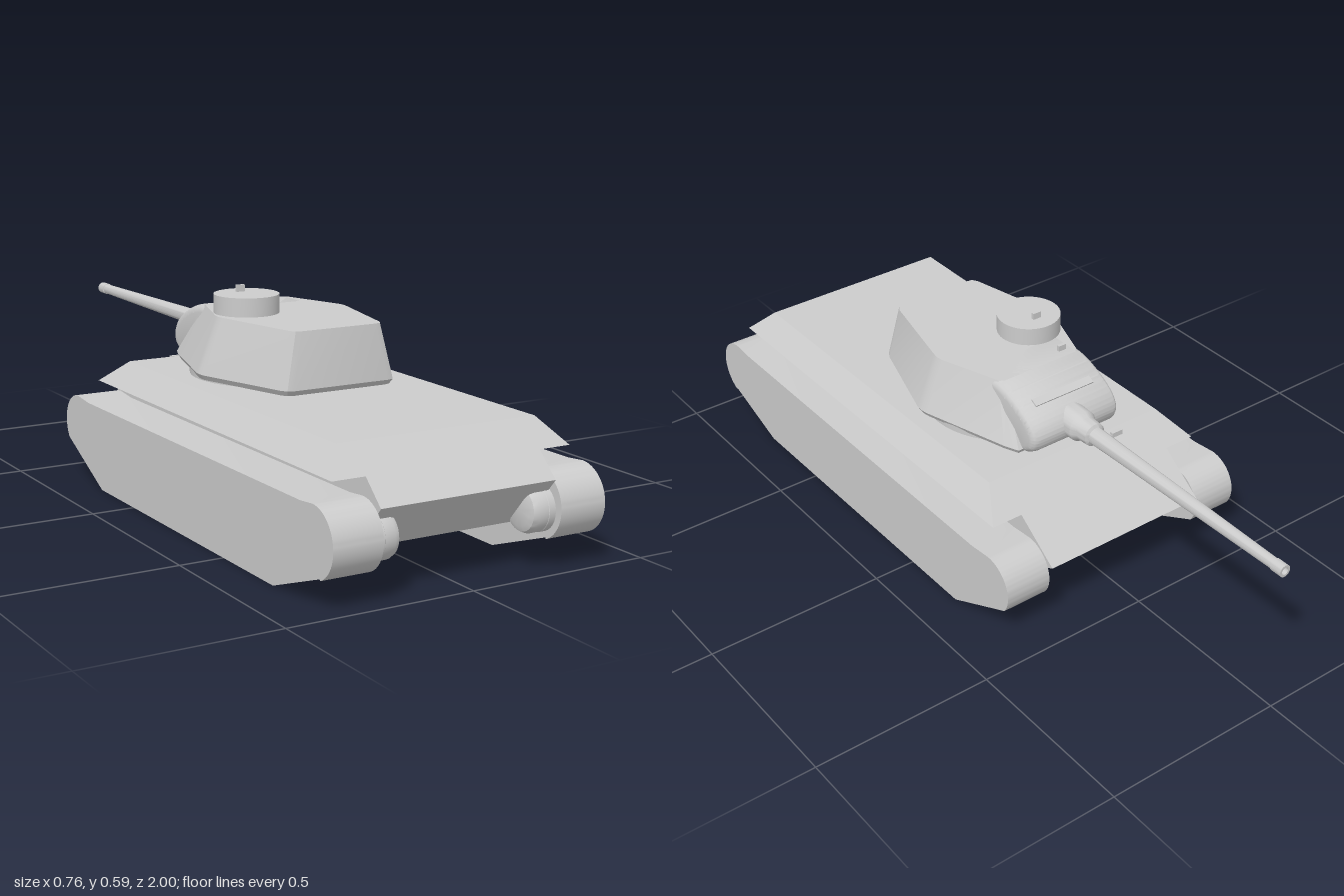
import * as THREE from 'three';
import { toCreasedNormals } from 'three/addons/utils/BufferGeometryUtils.js';

const material = new THREE.MeshStandardMaterial({ color: 0xcccccc });

function add(parent, name, geometry, x = 0, y = 0, z = 0, crease = 0.5) {
  const mesh = new THREE.Mesh(toCreasedNormals(geometry, crease), material);
  mesh.name = name;
  mesh.position.set(x, y, z);
  parent.add(mesh);
  return mesh;
}

// Side profile given as [z, y], extruded across x and centred on x = 0
function sideExtrude(shape, width, bevel = 0) {
  const depth = width - 2 * bevel;
  const geometry = new THREE.ExtrudeGeometry(shape, {
    depth, bevelEnabled: bevel > 0, bevelSize: bevel, bevelThickness: bevel,
    bevelOffset: -bevel, bevelSegments: 4, curveSegments: 14,
  });
  return geometry.translate(0, 0, -depth / 2).rotateY(-Math.PI / 2);
}

const polygon = (points) => new THREE.Shape(points.map(([z, y]) => new THREE.Vector2(z, y)));

// Half outline [x, z] from rear to front, mirrored into a full ring at height y
function ring(half, y) {
  const left = half.map(([x, z]) => [x, y, z]);
  const right = half.map(([x, z]) => [-x, y, z]).reverse();
  return [...left, ...right];
}

// Closed solid skinned through rings stacked upwards
function loft(rings) {
  const n = rings[0].length;
  const out = [];
  const tri = (a, b, c) => out.push(...a, ...b, ...c);
  for (let i = 0; i < rings.length - 1; i++) {
    for (let j = 0; j < n; j++) {
      const k = (j + 1) % n;
      const [a, b, c, d] = [rings[i][j], rings[i][k], rings[i + 1][k], rings[i + 1][j]];
      tri(a, b, c);
      tri(a, c, d);
    }
  }
  const bottom = rings[0];
  const top = rings[rings.length - 1];
  for (let j = 0; j < n; j++) {
    const k = (j + 1) % n;
    tri([0, bottom[0][1], 0.1], bottom[k], bottom[j]);
    tri([0, top[0][1], 0.1], top[j], top[k]);
  }
  const geometry = new THREE.BufferGeometry();
  geometry.setAttribute('position', new THREE.Float32BufferAttribute(out, 3));
  geometry.computeVertexNormals();
  return geometry;
}

function buildHull() {
  const hull = new THREE.Group();
  hull.name = 'hull';
  add(hull, 'lowerHull', sideExtrude(polygon([
    [0.917, 0.285], [0.98, 0.225], [0.88, 0.105], [-0.26, 0.105], [-0.44, 0.192], [-0.31, 0.285],
  ]), 0.49), 0, 0, 0, 0.2);
  add(hull, 'upperHull', loft([
    ring([[0.335, 0.917], [0.335, -0.31]], 0.285),
    ring([[0.28, 0.85], [0.28, -0.22]], 0.35),
  ]), 0, 0, 0, 0.2);
  // Driver's vision blocks on the front plate
  for (const x of [-0.13, -0.085]) {
    add(hull, 'visionBlock', new THREE.BoxGeometry(0.034, 0.014, 0.012), x, 0.342, -0.235);
  }
  return hull;
}

function buildRunningGear() {
  const gear = new THREE.Group();
  gear.name = 'runningGear';
  // Solid track block: round at both ends, sloping up from the ground run
  const track = new THREE.Shape();
  track.moveTo(-0.2, 0);
  track.lineTo(0.74, 0);
  track.lineTo(0.945, 0.075);
  track.absarc(0.912, 0.152, 0.088, -1.17, Math.PI / 2, false);
  track.lineTo(0.86, 0.235);
  track.lineTo(-0.28, 0.231);
  track.absarc(-0.35, 0.155, 0.083, Math.PI / 2, Math.PI * 1.2, false);
  track.closePath();
  // Final drive turned around the axle
  const drive = [[0, 0], [0.04, 0], [0.053, 0.005], [0.059, 0.018], [0.059, 0.045], [0.06, 0.046], [0.06, 0.08]];
  for (const side of [1, -1]) {
    add(gear, 'track', sideExtrude(track, 0.132), side * 0.315, 0, 0, 0.35);
    const geometry = new THREE.LatheGeometry(drive.map(([r, h]) => new THREE.Vector2(r, h)), 32);
    geometry.rotateZ(-side * Math.PI / 2);
    add(gear, 'finalDrive', geometry, side * 0.185, 0.146, 0.92, 0.7);
  }
  return gear;
}

function buildTurret() {
  const turret = new THREE.Group();
  turret.name = 'turret';
  add(turret, 'turretRing', new THREE.CylinderGeometry(0.225, 0.225, 0.03, 48), 0, 0.355, 0.085);

  // Six-sided shell with softened corners, leaning inwards to the roof
  const base = [[0.14, 0.43], [0.157, 0.425], [0.168, 0.405], [0.247, 0.15], [0.249, 0.13],
    [0.246, 0.11], [0.172, -0.14], [0.155, -0.18]];
  const roof = [[0.108, 0.413], [0.125, 0.41], [0.134, 0.395], [0.189, 0.15], [0.192, 0.13],
    [0.189, 0.11], [0.13, -0.06], [0.115, -0.07]];
  const underside = base.map(([x, z]) => [x * 0.965, 0.1 + (z - 0.1) * 0.97]);
  add(turret, 'turretShell', loft([ring(underside, 0.36), ring(base, 0.374), ring(roof, 0.52)]), 0, 0, 0, 0.4);

  // Rounded gun mantlet
  const nose = polygon([[0.02, 0.36], [0.02, 0.52], [-0.07, 0.52]]);
  nose.splineThru([[-0.12, 0.508], [-0.175, 0.483], [-0.213, 0.455], [-0.23, 0.42],
    [-0.22, 0.385], [-0.185, 0.362]].map(([z, y]) => new THREE.Vector2(z, y)));
  nose.closePath();
  add(turret, 'mantlet', sideExtrude(nose, 0.285, 0.022), 0, 0, 0, 0.6);
  const plate = add(turret, 'mantletCover', new THREE.BoxGeometry(0.19, 0.008, 0.022), 0, 0.489, -0.165);
  plate.rotation.x = -0.5;

  // Commander's cupola and roof periscopes
  add(turret, 'cupola', new THREE.CylinderGeometry(0.087, 0.087, 0.055, 48), -0.091, 0.5425, 0.1);
  add(turret, 'cupolaPeriscope', new THREE.BoxGeometry(0.024, 0.02, 0.009), -0.091, 0.578, 0.066);
  add(turret, 'roofPeriscope', new THREE.BoxGeometry(0.024, 0.02, 0.009), -0.095, 0.526, -0.04);
  return turret;
}

function buildGun() {
  const gun = new THREE.Group();
  gun.name = 'gun';
  // Collar, stepped sleeve, tapered barrel and muzzle with an open bore
  const profile = [[0.045, 0], [0.043, 0.05], [0.034, 0.065], [0.032, 0.1], [0.024, 0.105], [0.022, 0.2],
    [0.0145, 0.765], [0.0165, 0.766], [0.0165, 0.8], [0.01, 0.8], [0.009, 0.77], [0, 0.77]];
  const geometry = new THREE.LatheGeometry(profile.map(([r, h]) => new THREE.Vector2(r, h)), 32);
  geometry.rotateX(-Math.PI / 2);
  add(gun, 'barrel', geometry, 0, 0.425, -0.2);
  return gun;
}

export function createModel() {
  const model = new THREE.Group();
  model.name = 'tank';
  model.add(buildHull(), buildRunningGear(), buildTurret(), buildGun());
  return model;
}
